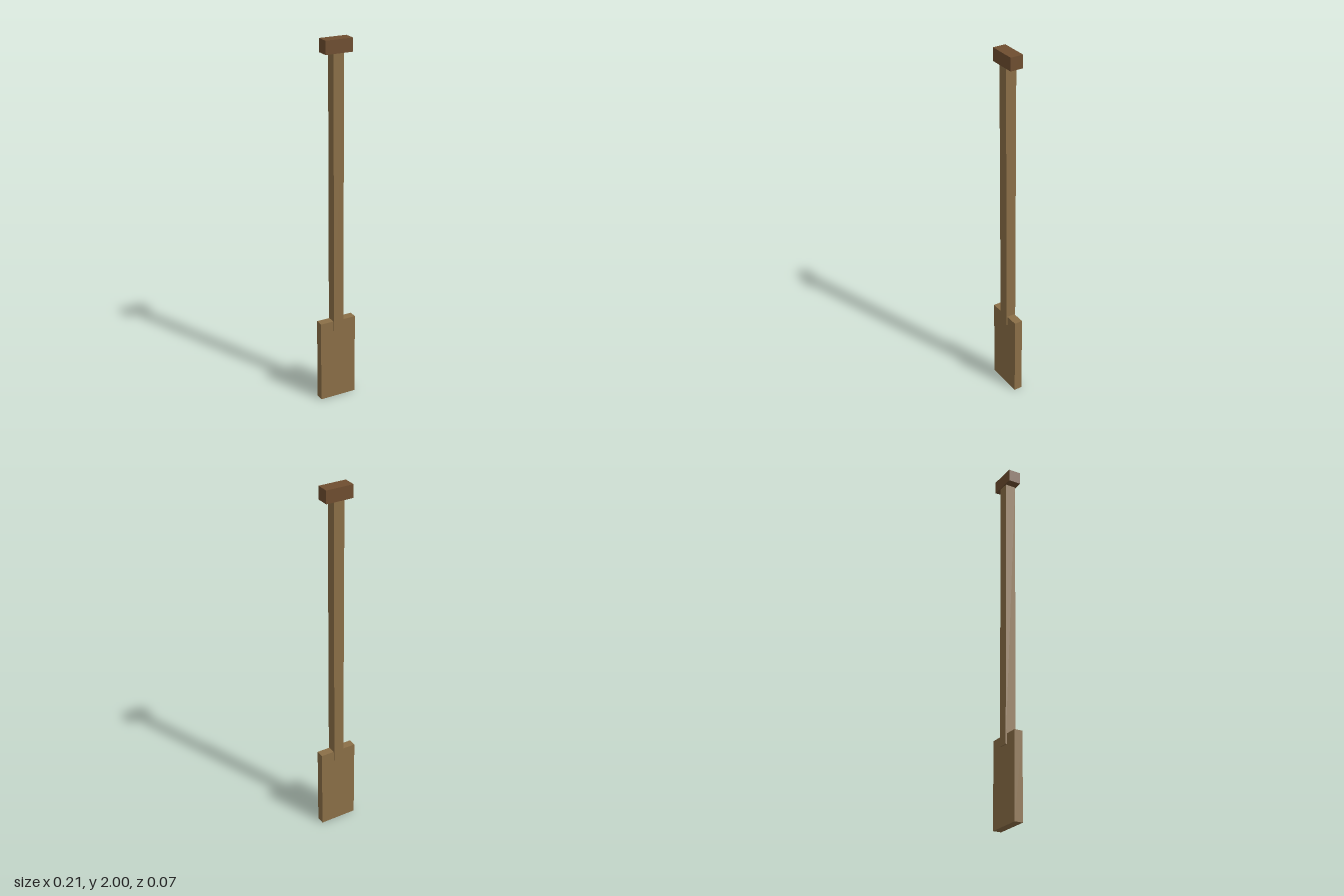
import * as THREE from 'three';

export function createModel() {
  const group = new THREE.Group();
  const wood = new THREE.MeshStandardMaterial({ color: 0x8b6f47 });
  const darkWood = new THREE.MeshStandardMaterial({ color: 0x6f4e30 });

  // A centred box spanning the heights y0 to y1
  const addBox = (name, width, depth, y0, y1, material) => {
    const mesh = new THREE.Mesh(new THREE.BoxGeometry(width, y1 - y0, depth), material);
    mesh.name = name;
    mesh.position.y = (y0 + y1) / 2;
    group.add(mesh);
  };

  // Flat paddle blade
  addBox('blade', 0.208, 0.046, 0, 0.465, wood);
  // Square shaft, slightly thicker than the blade and let into its top
  addBox('shaft', 0.058, 0.058, 0.41, 1.93, wood);
  // Crossbar grip
  addBox('grip', 0.152, 0.07, 1.93, 2, darkWood);

  return group;
}
